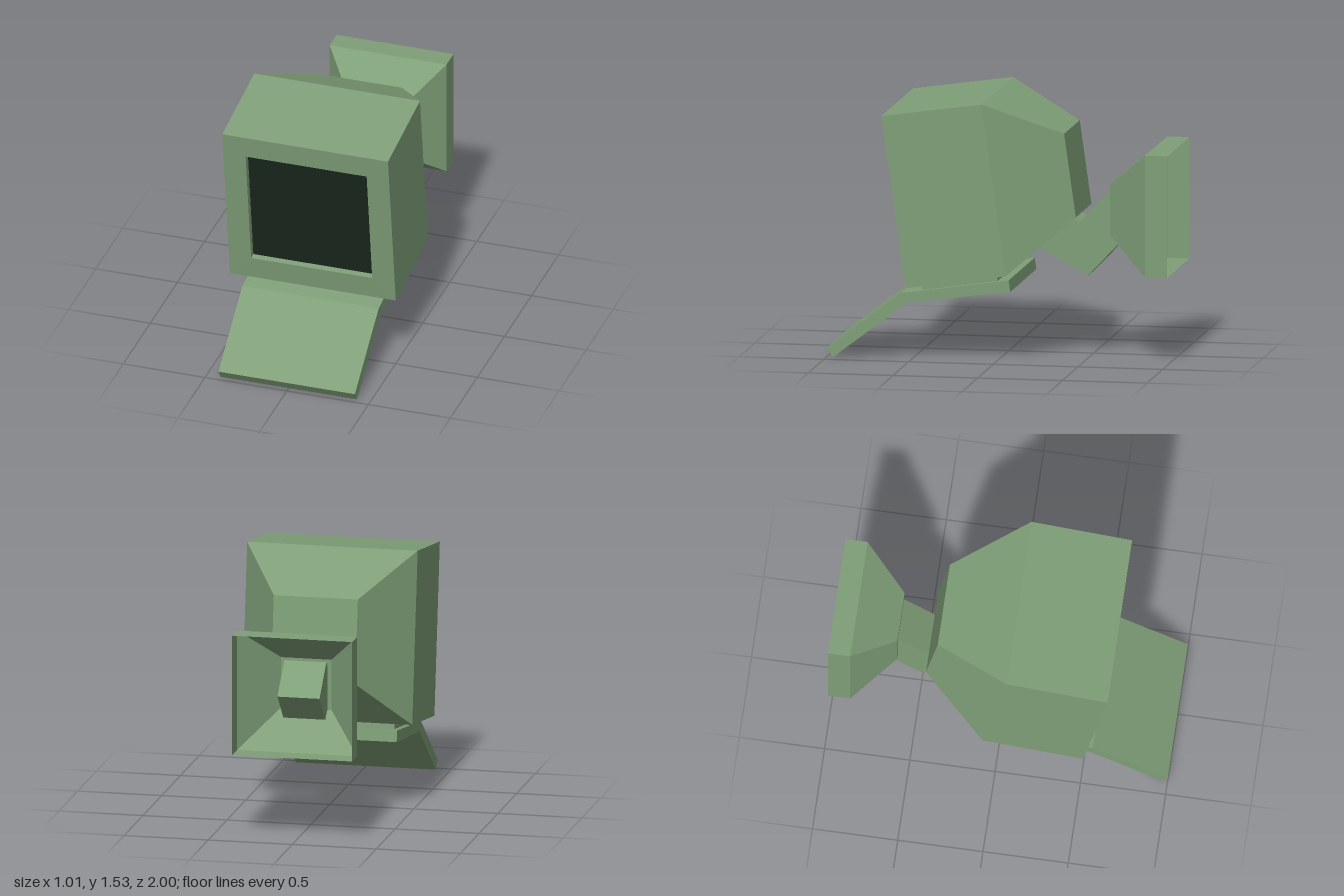
import * as THREE from 'three';

const green = new THREE.MeshStandardMaterial({ color: 0x7f9f78, flatShading: true });
const greenThin = new THREE.MeshStandardMaterial({ color: 0x7f9f78, flatShading: true, side: THREE.DoubleSide });
const dark = new THREE.MeshStandardMaterial({ color: 0x18271d, flatShading: true });

// Rectangular section: half width, then z and y of its top and bottom edges
function section(hw, zTop, yTop, zBottom, yBottom) {
  return [[-hw, yBottom, zBottom], [hw, yBottom, zBottom], [hw, yTop, zTop], [-hw, yTop, zTop]];
}

// Skin over consecutive sections, optionally closed at the first or last one
function loft(rings, capFirst, capLast) {
  const points = [];
  const quad = (a, b, c, d) => points.push(...a, ...b, ...c, ...a, ...c, ...d);
  for (let r = 0; r < rings.length - 1; r++) {
    const A = rings[r], B = rings[r + 1];
    for (let i = 0; i < 4; i++) {
      const j = (i + 1) % 4;
      quad(A[i], B[i], B[j], A[j]);
    }
  }
  if (capFirst) quad(...rings[0]);
  if (capLast) quad(...[...rings[rings.length - 1]].reverse());
  const geometry = new THREE.BufferGeometry();
  geometry.setAttribute('position', new THREE.Float32BufferAttribute(points, 3));
  geometry.computeVertexNormals();
  return geometry;
}

// Side profile of [z, y] points extruded across x, centred
function slab(profile, halfWidth) {
  const shape = new THREE.Shape(profile.map(([z, y]) => new THREE.Vector2(-z, y)));
  const geometry = new THREE.ExtrudeGeometry(shape, { depth: 2 * halfWidth, bevelEnabled: false });
  return geometry.translate(0, 0, -halfWidth).rotateY(Math.PI / 2);
}

export function createModel() {
  const model = new THREE.Group();
  model.name = 'wallMonitor';
  const add = (name, geometry, material) => {
    const mesh = new THREE.Mesh(geometry, material);
    mesh.name = name;
    model.add(mesh);
  };

  // Tilted housing: screen recess, bezel, box, tapered back
  const recess = section(0.37, 0.601, 1.315, 0.499, 0.58);
  add('housing', loft([
    recess,
    section(0.37, 0.641, 1.31, 0.539, 0.575),
    section(0.507, 0.66, 1.445, 0.517, 0.437),
    section(0.507, 0.07, 1.53, -0.073, 0.523),
    section(0.25, -0.372, 1.33, -0.441, 0.84),
  ], false, true), green);
  add('screen', loft([recess], true, false), dark);

  // Bent tray below, joined by a narrower spacer
  add('tray', slab([[1, 0.057], [0.56, 0.392], [-0.075, 0.485], [-0.085, 0.418], [0.523, 0.338], [0.963, 0.003]], 0.417), green);
  add('traySpacer', slab([[0.445, 0.46], [0.437, 0.4], [-0.005, 0.465], [0.002, 0.53]], 0.385), green);

  // Elbowed square arm from the housing into the wall mount
  add('arm', slab([[-0.1, 0.695], [-0.49, 0.48], [-0.832, 0.84], [-0.65, 1.015], [-0.44, 0.795], [-0.22, 0.917]], 0.125), green);

  // Flared wall mount, open at the back
  add('wallMount', loft([
    section(0.15, -0.623, 1.025, -0.623, 0.725),
    section(0.357, -0.87, 1.232, -0.87, 0.518),
    section(0.357, -1, 1.232, -1, 0.518),
  ], true, false), greenThin);

  return model;
}
